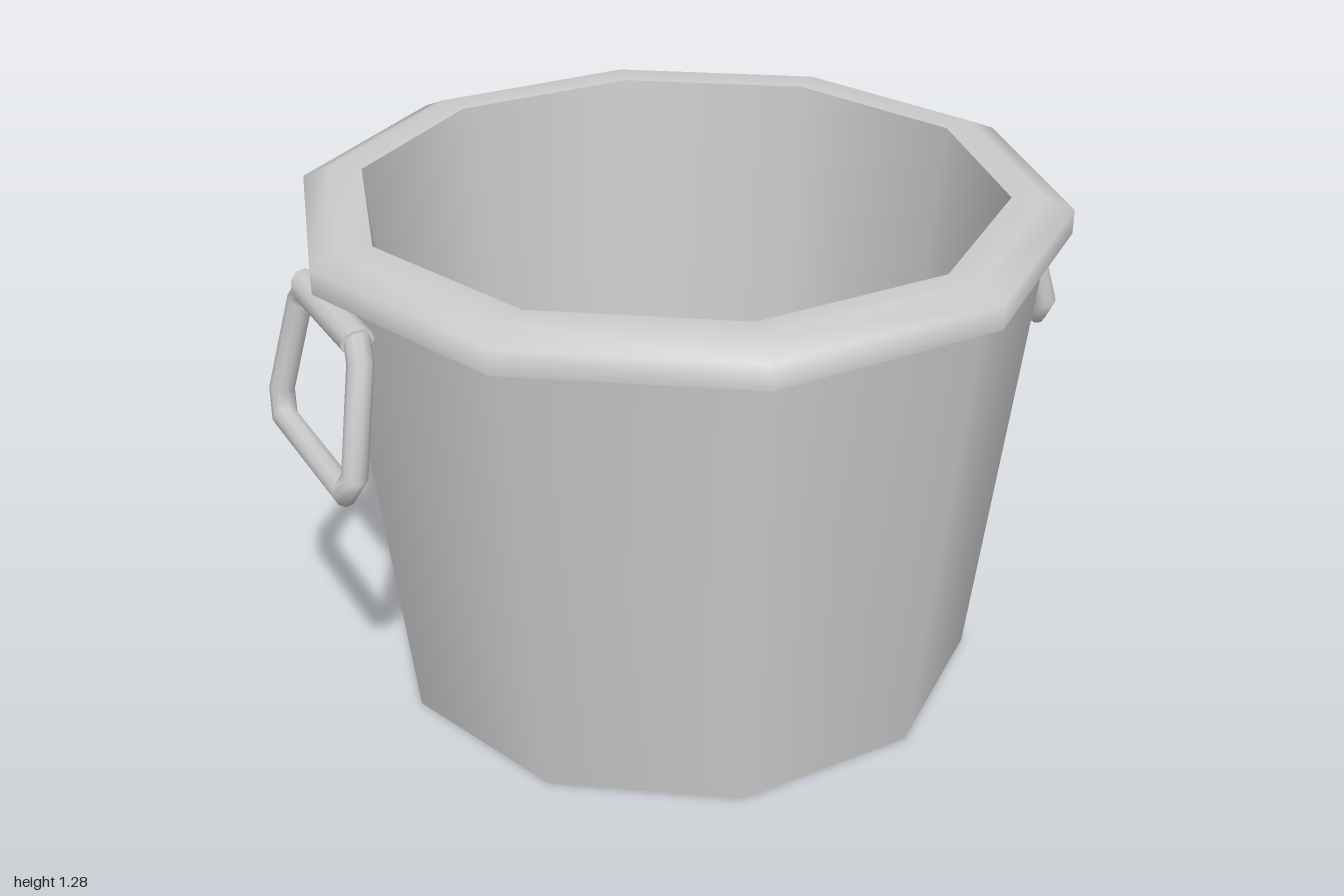
import * as THREE from 'three';

const SIDES = 10;
const material = new THREE.MeshStandardMaterial({ color: 0xcccccc });

// One smooth surface of revolution, with a corner of the decagon on the x axis
function ring(name, points) {
  const profile = points.map(([r, y]) => new THREE.Vector2(r, y));
  const mesh = new THREE.Mesh(new THREE.LatheGeometry(profile, SIDES, Math.PI / 2), material);
  mesh.name = name;
  return mesh;
}

// Closed round bar swept along a loop of [z, y] corners, mitred at each corner
function barLoop(corners, radius, sides = 10) {
  const n = corners.length;
  const pts = corners.map(([z, y]) => new THREE.Vector2(z, y));
  const positions = [], index = [];
  for (let i = 0; i < n; i++) {
    const a = pts[i].clone().sub(pts[(i + n - 1) % n]).normalize();
    const b = pts[(i + 1) % n].clone().sub(pts[i]).normalize();
    const t = a.clone().add(b).normalize();
    const miter = radius / t.dot(a);
    for (let j = 0; j < sides; j++) {
      const angle = (j / sides) * Math.PI * 2;
      const out = Math.cos(angle) * miter;
      positions.push(Math.sin(angle) * radius, pts[i].y + t.x * out, pts[i].x - t.y * out);
      const i2 = ((i + 1) % n) * sides, j2 = (j + 1) % sides;
      index.push(i * sides + j, i2 + j, i * sides + j2);
      index.push(i2 + j, i2 + j2, i * sides + j2);
    }
  }
  const geometry = new THREE.BufferGeometry();
  geometry.setAttribute('position', new THREE.Float32BufferAttribute(positions, 3));
  geometry.setIndex(index);
  geometry.computeVertexNormals();
  return geometry;
}

function createHandle(name) {
  const handle = new THREE.Group();
  handle.name = name;

  // Tilted so the lower bar hangs away from the wall
  const swing = new THREE.Group();
  swing.position.set(0.9, 1.135, 0);
  swing.rotation.z = 0.21;
  handle.add(swing);

  const half = [[0.205, -0.347], [0.245, -0.29], [0.195, -0.04], [0.165, 0]];
  const mirrored = half.map(([z, y]) => [-z, y]);
  const grip = new THREE.Mesh(barLoop([...mirrored, ...half.reverse()], 0.03), material);
  grip.name = 'handleBar';

  // Sleeve on the top bar, its ends cut at a slant
  const sleeveGeometry = new THREE.CylinderGeometry(0.038, 0.038, 0.33, 10).rotateX(Math.PI / 2);
  const p = sleeveGeometry.attributes.position;
  for (let i = 0; i < p.count; i++) p.setZ(i, p.getZ(i) + Math.sign(p.getZ(i)) * p.getY(i) * 0.55);
  const sleeve = new THREE.Mesh(sleeveGeometry, material);
  sleeve.name = 'handleSleeve';

  swing.add(grip, sleeve);
  return handle;
}

export function createModel() {
  const model = new THREE.Group();
  model.name = 'bucket';

  // Tapered tub
  model.add(
    ring('base', [[0, 0], [0.76, 0]]),
    ring('outerWall', [[0.76, 0], [0.888, 1.19]]),
    ring('rimUnderside', [[0.888, 1.19], [0.94, 1.19]]),
    ring('rim', [[0.94, 1.19], [0.94, 1.25], [0.87, 1.28], [0.79, 1.275]]),
    ring('innerWall', [[0.79, 1.275], [0.67, 0.1]]),
    ring('floor', [[0.67, 0.1], [0, 0.1]])
  );

  // Pair of handles
  const left = createHandle('leftHandle');
  const right = createHandle('rightHandle');
  right.rotation.y = Math.PI;
  model.add(left, right);
  return model;
}
